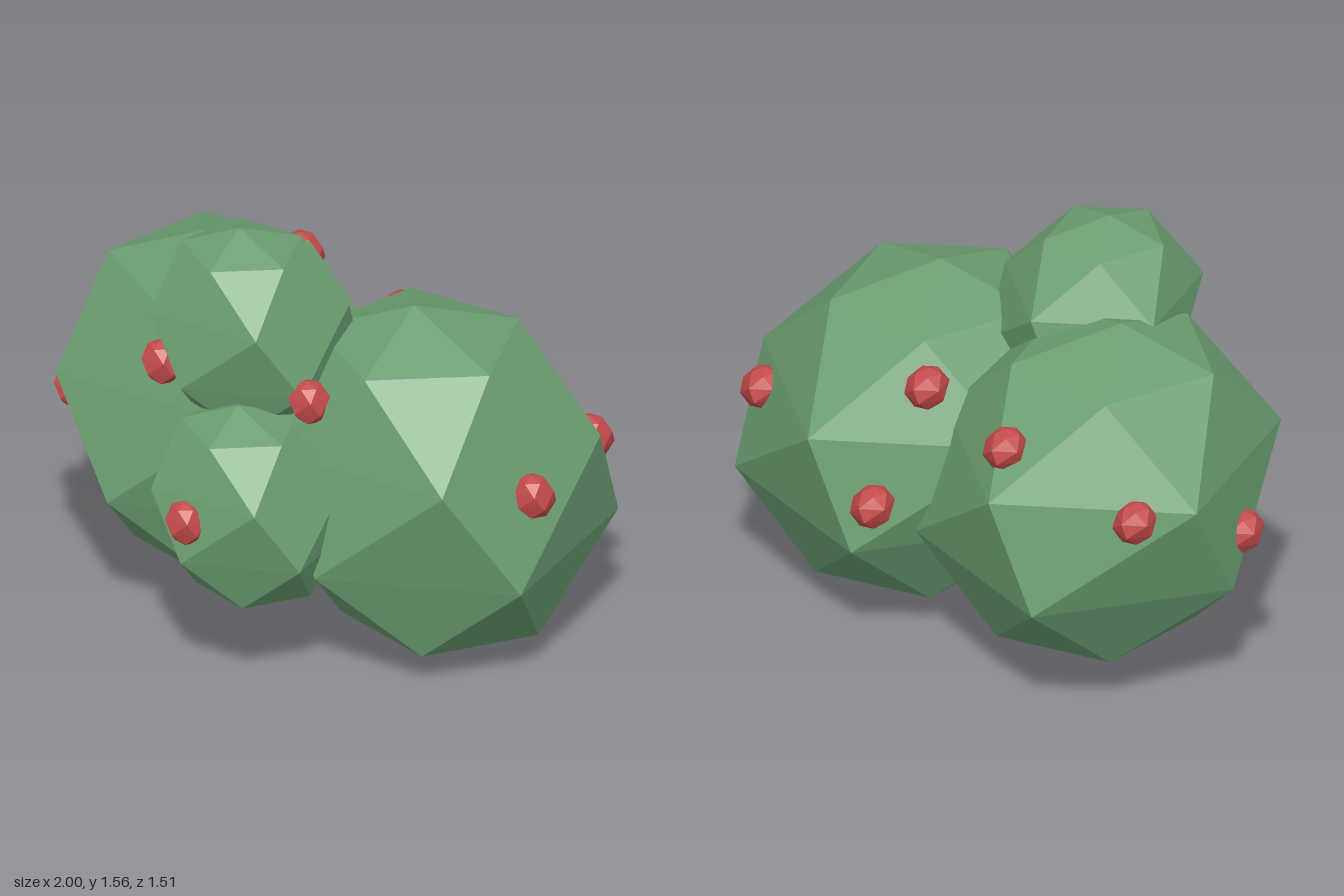
import * as THREE from 'three';
import { ConvexGeometry } from 'three/addons/geometries/ConvexGeometry.js';

const leafGreen = new THREE.MeshStandardMaterial({ color: 0x6b9e71, flatShading: true });
leafGreen.name = 'leafGreen';
const berryRed = new THREE.MeshStandardMaterial({ color: 0xc44a4a, flatShading: true });
berryRed.name = 'berryRed';

// Faceted unit ball: two poles and four slightly shifted, twisted five-point rings
function facetedBall() {
  const rings = [ // centre x, centre z, radius, turn in degrees
    [-0.01, 0.09, 0.57, 18],
    [0, 0.03, 0.95, -18],
    [0.08, 0.01, 0.95, 32.5],
    [0.135, 0.04, 0.57, 1],
  ];
  const points = [new THREE.Vector3(-0.04, 1, 0.1), new THREE.Vector3(0.14, -1, 0.07)];
  rings.forEach(([cx, cz, r, turn], i) => {
    const y = Math.cos((i + 1) * Math.PI / 5);
    for (let k = 0; k < 5; k++) {
      const a = THREE.MathUtils.degToRad(turn + 72 * k);
      points.push(new THREE.Vector3(cx + r * Math.cos(a), y, cz + r * Math.sin(a)));
    }
  });
  return new ConvexGeometry(points);
}

export function createModel() {
  const model = new THREE.Group();
  model.name = 'berryBush';
  const ball = facetedBall();

  const add = (name, material, radius, x, y, z) => {
    const mesh = new THREE.Mesh(ball, material);
    mesh.name = name;
    mesh.scale.setScalar(radius);
    mesh.position.set(x, y, z);
    model.add(mesh);
  };

  // Foliage clumps
  add('leftFoliage', leafGreen, 0.645, 0.413, 0.645, -0.163);
  add('rightFoliage', leafGreen, 0.645, -0.423, 0.71, -0.164);
  add('topFoliage', leafGreen, 0.38, -0.144, 1.18, 0.123);
  add('frontFoliage', leafGreen, 0.373, 0.006, 0.653, 0.38);

  // Berries scattered over the clumps
  const berries = [
    [-0.06, 0.68, 0.68],
    [-0.38, 1.05, 0.31],
    [0.2, 1.045, 0.29],
    [0.925, 0.745, 0],
    [-0.92, 0.665, 0],
    [0.875, 0.75, -0.47],
    [-0.845, 0.87, -0.47],
    [-0.38, 1.05, -0.62],
    [0.125, 1.03, -0.46],
    [0.18, 0.63, -0.68],
  ];
  berries.forEach(([x, y, z], i) => add(`berry${i + 1}`, berryRed, 0.08, x, y, z));

  return model;
}
